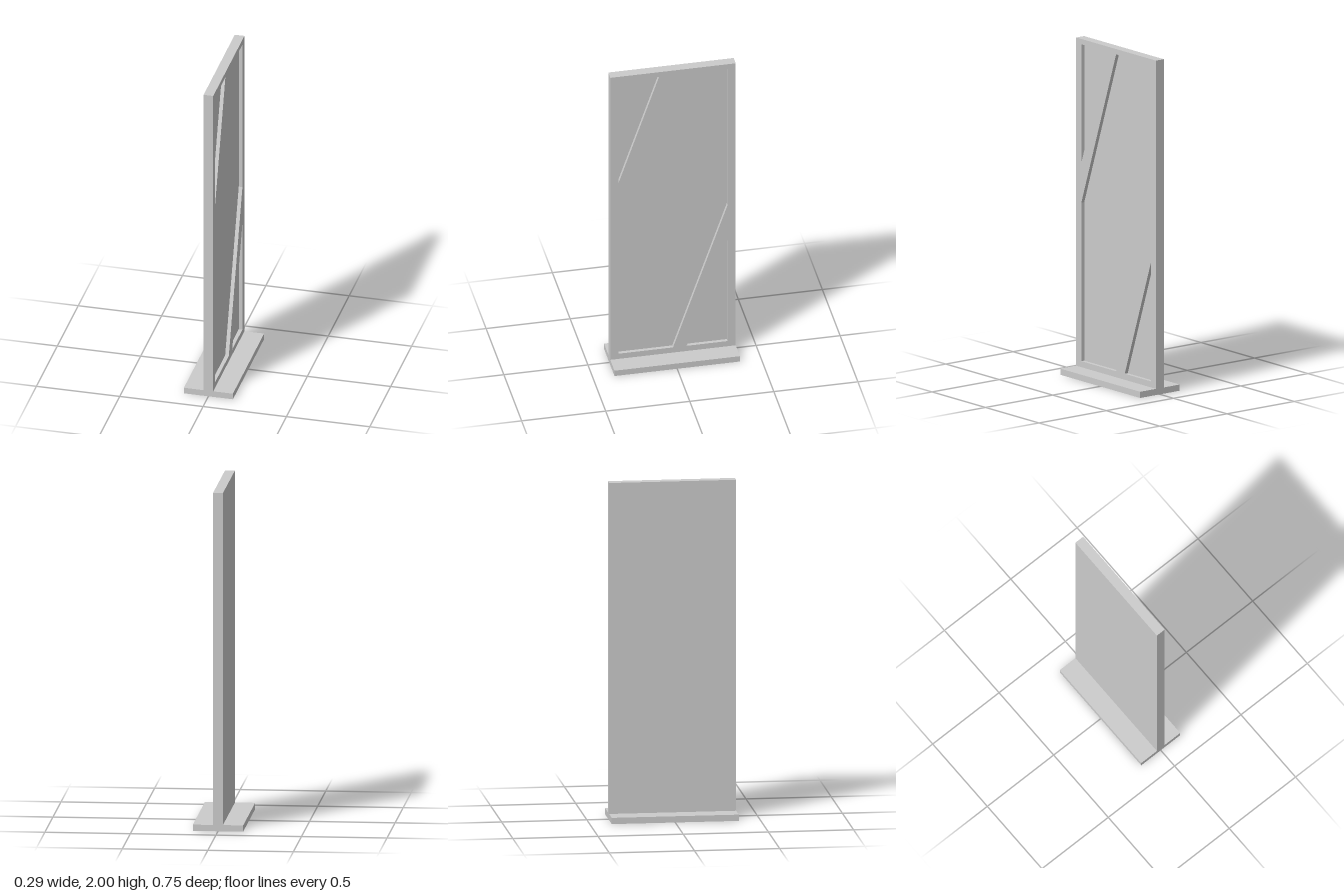
import * as THREE from 'three';

const HEIGHT = 2, HALF_DEPTH = 0.373, HALF_THICK = 0.029;
const BASE_H = 0.037, BASE_W = 0.294, RECESS = 0.022;

export function createModel() {
  const group = new THREE.Group();
  const material = new THREE.MeshStandardMaterial({ color: 0xcccccc, flatShading: true });
  const add = (name, geometry, x, y) => {
    const mesh = new THREE.Mesh(geometry, material);
    mesh.name = name;
    mesh.position.set(x, y, 0);
    group.add(mesh);
    return mesh;
  };

  // Flat foot plate
  add('basePlate', new THREE.BoxGeometry(BASE_W, BASE_H, HALF_DEPTH * 2), 0, BASE_H / 2);

  // Plain backing slab, forming the recess floors
  const panelH = HEIGHT - BASE_H;
  const backT = HALF_THICK * 2 - RECESS;
  add('backPanel', new THREE.BoxGeometry(backT, panelH, HALF_DEPTH * 2),
    -HALF_THICK + backT / 2, BASE_H + panelH / 2);

  // Raised border and two diagonal bars, cut by three recess openings
  const points = (list) => list.map(([u, y]) => new THREE.Vector2(u, y));
  const frame = new THREE.Shape(points([
    [-HALF_DEPTH, BASE_H], [HALF_DEPTH, BASE_H], [HALF_DEPTH, HEIGHT], [-HALF_DEPTH, HEIGHT],
  ]));
  const e = 0.325, top = 1.968, bottom = 0.073;
  const openings = [
    [[-e, top], [-0.083, top], [-e, 1.258]],
    [[-e, 1.021], [0, top], [e, top], [e, 1.021], [0, bottom], [-e, bottom]],
    [[e, 0.782], [0.081, bottom], [e, bottom]],
  ];
  for (const opening of openings) frame.holes.push(new THREE.Path(points(opening)));

  const frameGeometry = new THREE.ExtrudeGeometry(frame, { depth: RECESS, bevelEnabled: false });
  frameGeometry.rotateY(Math.PI / 2);
  add('diagonalFrame', frameGeometry, HALF_THICK - RECESS, 0);

  return group;
}
